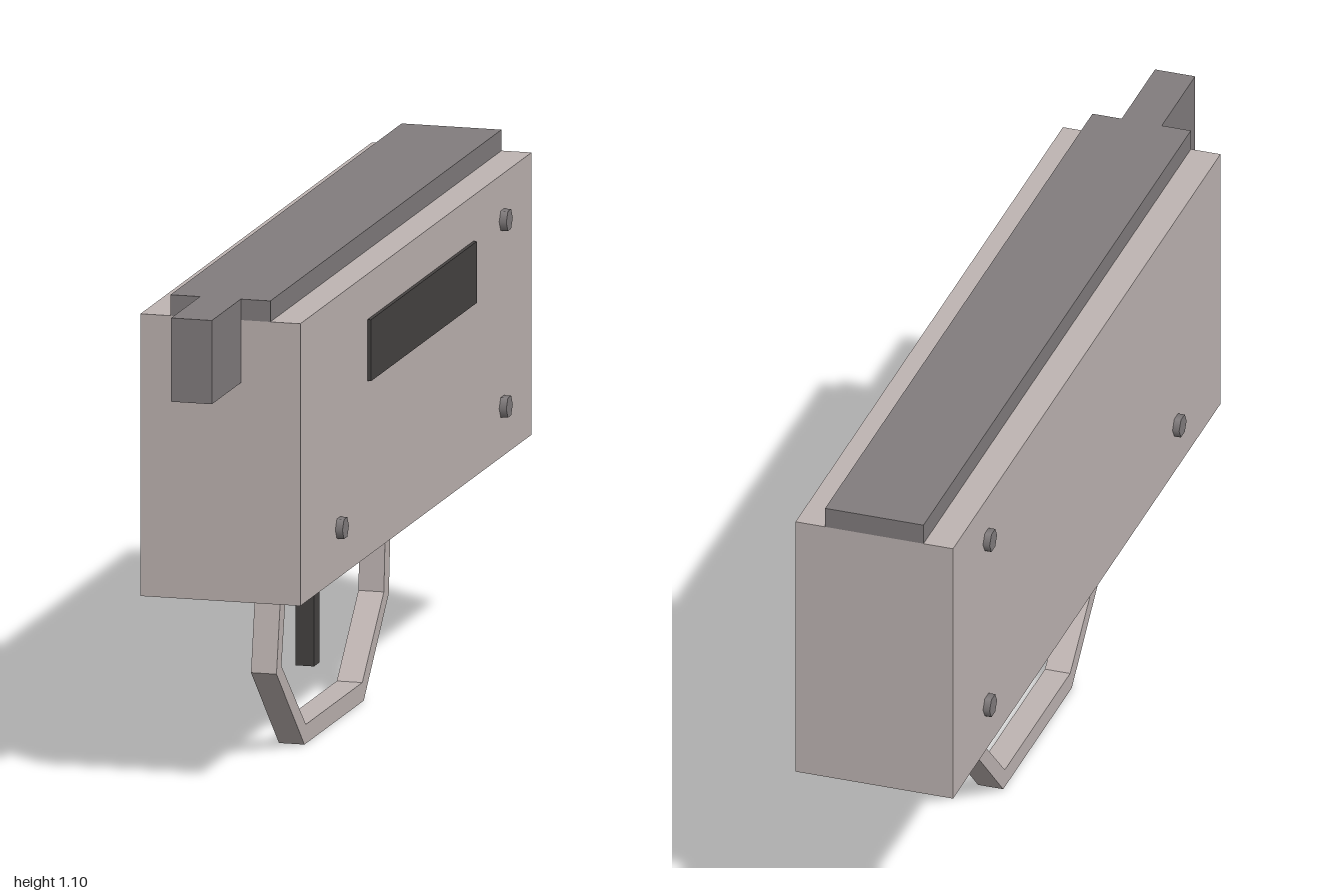
import * as THREE from 'three';

export function createModel() {
  const model = new THREE.Group();
  model.name = 'model';

  const material = (name, color) => {
    const m = new THREE.MeshStandardMaterial({ color });
    m.name = name;
    return m;
  };
  const paleGrey = material('paleGrey', 0xbfb5b3);
  const midGrey = material('midGrey', 0x827d7e);
  const darkGrey = material('darkGrey', 0x464342);

  const add = (name, geometry, mat) => {
    const mesh = new THREE.Mesh(geometry, mat);
    mesh.name = name;
    model.add(mesh);
    return mesh;
  };
  // Box given by its limits on each axis
  const box = (name, mat, [x0, x1], [y0, y1], [z0, z1]) =>
    add(name, new THREE.BoxGeometry(x1 - x0, y1 - y0, z1 - z0), mat)
      .position.set((x0 + x1) / 2, (y0 + y1) / 2, (z0 + z1) / 2);

  // Main housing, top rail and front block
  box('body', paleGrey, [-0.179, 0.178], [0.43, 1.05], [-1, 0.778]);
  box('topRail', midGrey, [-0.112, 0.111], [1.05, 1.096], [-1, 0.778]);
  box('frontBlock', midGrey, [-0.046, 0.045], [0.912, 1.096], [0.778, 1]);

  // Dark panel on the left (+x) side
  box('sidePanel', darkGrey, [0.178, 0.186], [0.815, 0.95], [-0.553, 0.262]);

  // Trigger bar
  box('trigger', darkGrey, [-0.021, 0.02], [0.15, 0.43], [0.085, 0.128]);

  // Six-sided pins passing through the housing
  for (const [y, z] of [[0.54, 0.484], [0.54, -0.776], [0.95, -0.776]]) {
    const pin = new THREE.CylinderGeometry(0.025, 0.025, 0.388, 6).rotateZ(Math.PI / 2);
    add('pin', pin, midGrey).position.set(0, y, z);
  }

  // Angular guard loop: outer outline, then the inner one back again, as (z, y)
  const outer = [[0.4, 0.43], [0.443, 0.2], [0.228, 0], [-0.228, 0], [-0.421, 0.195], [-0.442, 0.43]];
  const inner = [[-0.4, 0.43], [-0.383, 0.206], [-0.217, 0.042], [0.217, 0.042], [0.405, 0.21], [0.357, 0.43]];
  const outline = new THREE.Shape([...outer, ...inner].map(([z, y]) => new THREE.Vector2(z, y)));
  const guard = new THREE.ExtrudeGeometry(outline, { depth: 0.057, bevelEnabled: false });
  guard.translate(0, 0, -0.0275).rotateY(-Math.PI / 2);
  add('guard', guard, paleGrey);

  return model;
}
